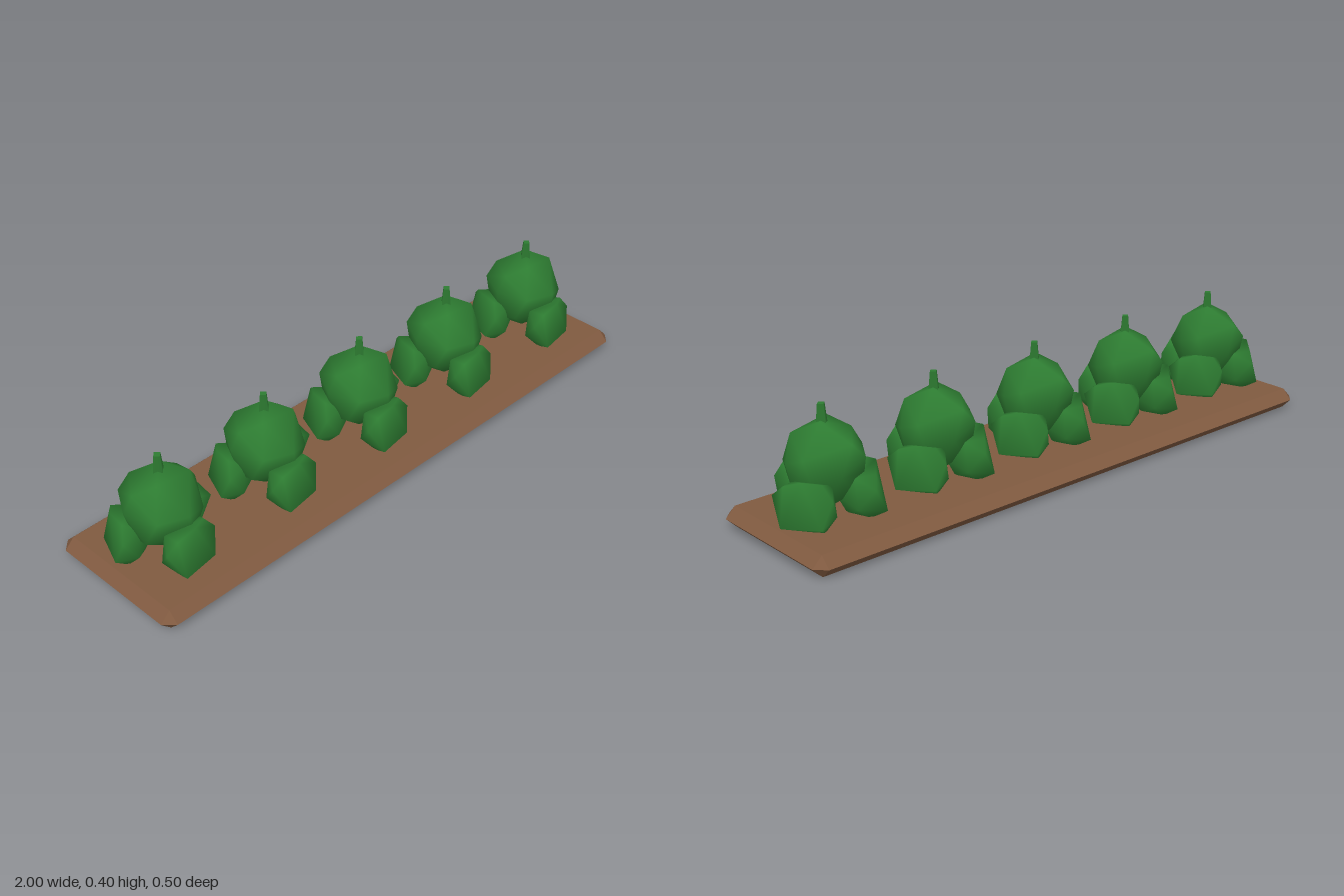
import * as THREE from 'three';
import { ConvexGeometry } from 'three/addons/geometries/ConvexGeometry.js';
import { mergeVertices } from 'three/addons/utils/BufferGeometryUtils.js';

const toVectors = (points) => points.map((p) => new THREE.Vector3(...p));

// Faceted lump with normals averaged across its corners
function smoothLump(points) {
  const hull = new ConvexGeometry(toVectors(points));
  hull.deleteAttribute('normal');
  const geometry = mergeVertices(hull, 1e-4);
  geometry.computeVertexNormals();
  return geometry;
}

export function createModel() {
  const green = new THREE.MeshStandardMaterial({ color: 0x2e7d32 });
  green.name = 'leafGreen';
  const brown = new THREE.MeshStandardMaterial({ color: 0x805a40 });
  brown.name = 'soilBrown';

  const model = new THREE.Group();
  model.name = 'plantedBed';

  const add = (parent, name, geometry, material) => {
    const mesh = new THREE.Mesh(geometry, material);
    mesh.name = name;
    parent.add(mesh);
    return mesh;
  };

  // Bed: a slab with wide bevels meeting at mid height
  const bedPoints = [];
  for (const sx of [-1, 1]) {
    for (const sz of [-1, 1]) {
      bedPoints.push(
        [sx * 0.967, 0, sz * 0.217], [sx * 0.967, 0.066, sz * 0.217],
        [sx, 0.033, sz * 0.217], [sx * 0.967, 0.033, sz * 0.25],
      );
    }
  }
  add(model, 'bed', new ConvexGeometry(toVectors(bedPoints)), brown);

  // Head: irregular lump about its own centre
  const headGeometry = smoothLump([
    [0.02, 0.133, -0.02], [-0.05, 0.12, 0.05], [0.08, 0.1, 0.04],
    [-0.1, 0.085, 0], [-0.03, 0.075, -0.1], [0.11, 0.05, -0.06],
    [0.127, 0.03, 0], [-0.127, 0.03, -0.01], [-0.07, 0.03, -0.107],
    [0.03, 0, -0.131], [0, 0.025, 0.126], [0.075, 0, 0.095],
    [-0.085, 0.02, 0.085], [0.03, -0.075, 0.1], [-0.11, -0.05, 0.06],
    [0.1, -0.085, 0], [-0.08, -0.1, -0.04], [0.05, -0.12, -0.05],
    [-0.02, -0.133, 0.02], [-0.075, -0.02, -0.09],
  ]);

  // Leaf: smaller lump leaning on the head, outer side towards +z
  const leafGeometry = smoothLump([
    [0, 0.22, 0.148], [-0.06, 0.198, 0.14], [0.05, 0.21, 0.122],
    [-0.098, 0.165, 0.135], [0.085, 0.165, 0.128],
    [-0.06, 0.082, 0.17], [0.06, 0.085, 0.153],
    [-0.05, 0.06, 0.12], [0.05, 0.06, 0.115], [0, 0.06, 0.06],
    [-0.06, 0.19, 0.08], [0.06, 0.19, 0.075], [0, 0.12, 0.03],
    [-0.08, 0.1, 0.085], [0.075, 0.1, 0.085],
  ]);

  const stemGeometry = new THREE.CylinderGeometry(0.013, 0.021, 0.07, 4);

  // Five equal plants in a row
  for (let i = 0; i < 5; i++) {
    const plant = new THREE.Group();
    plant.name = `plant${i + 1}`;
    plant.position.x = (i - 2) * 0.4;
    add(plant, 'head', headGeometry, green).position.y = 0.222;
    add(plant, 'stem', stemGeometry, green).position.y = 0.366;
    for (let k = 0; k < 3; k++) {
      add(plant, 'leaf', leafGeometry, green).rotation.y = (k * Math.PI * 2) / 3;
    }
    model.add(plant);
  }
  return model;
}
